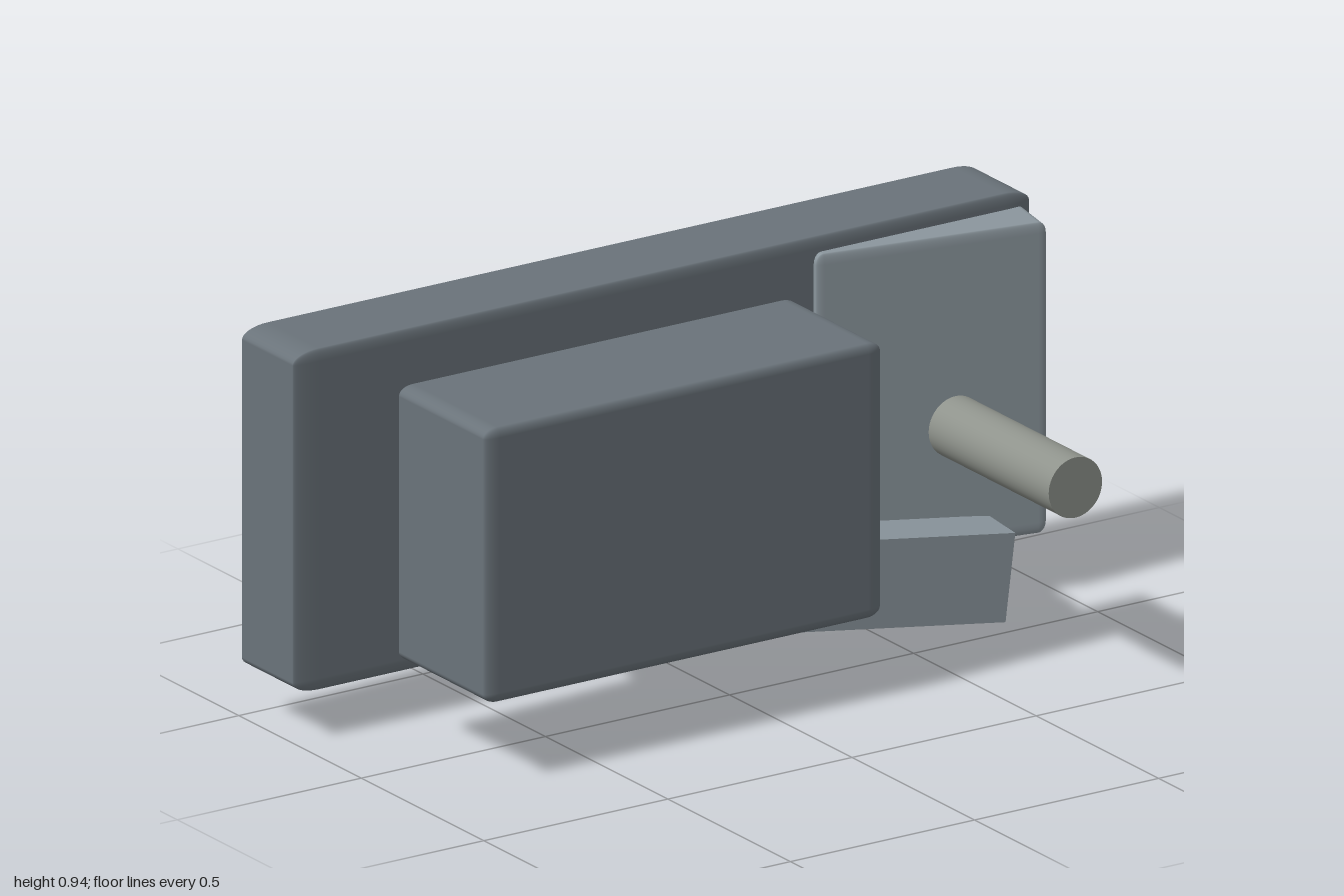
import * as THREE from 'three';
import { RoundedBoxGeometry } from 'three/addons/geometries/RoundedBoxGeometry.js';

const dark = new THREE.MeshStandardMaterial({ color: 0x6a737a });
const light = new THREE.MeshStandardMaterial({ color: 0x8b969d });
const metal = new THREE.MeshStandardMaterial({ color: 0x8f938c });

// Box whose rounding stretches with its proportions
function softBox(w, h, d, radius = 0.035) {
  return new RoundedBoxGeometry(1, 1, 1, 5, radius).scale(w, h, d);
}

export function createModel() {
  const model = new THREE.Group();
  model.name = 'latchAssembly';

  function add(name, geometry, material, position, rotation = [0, 0, 0]) {
    const mesh = new THREE.Mesh(geometry, material);
    mesh.name = name;
    mesh.position.set(...position);
    mesh.rotation.set(...rotation);
    model.add(mesh);
  }

  // Long slab at the back and the block in front of it
  add('backPlate', softBox(2, 0.82, 0.222), dark, [0, 0.53, -0.384]);
  add('frontBlock', softBox(1.078, 0.66, 0.366), dark, [-0.26, 0.53, 0.023]);

  // Upright panel turned outward at the left end
  add('sidePanel', softBox(0.567, 0.747, 0.15), light, [0.7, 0.529, -0.281], [0, -0.18, 0]);

  // Bar tilted downward and forward
  add('lever', new THREE.BoxGeometry(1.02, 0.212, 0.132), light, [0.304, 0.17, -0.177], [0, -0.11, -0.118]);

  // Round peg pointing forward
  add('peg', new THREE.CylinderGeometry(0.0725, 0.0725, 0.49, 48), metal, [0.61, 0.53, 0.25], [Math.PI / 2, 0, 0]);

  return model;
}
